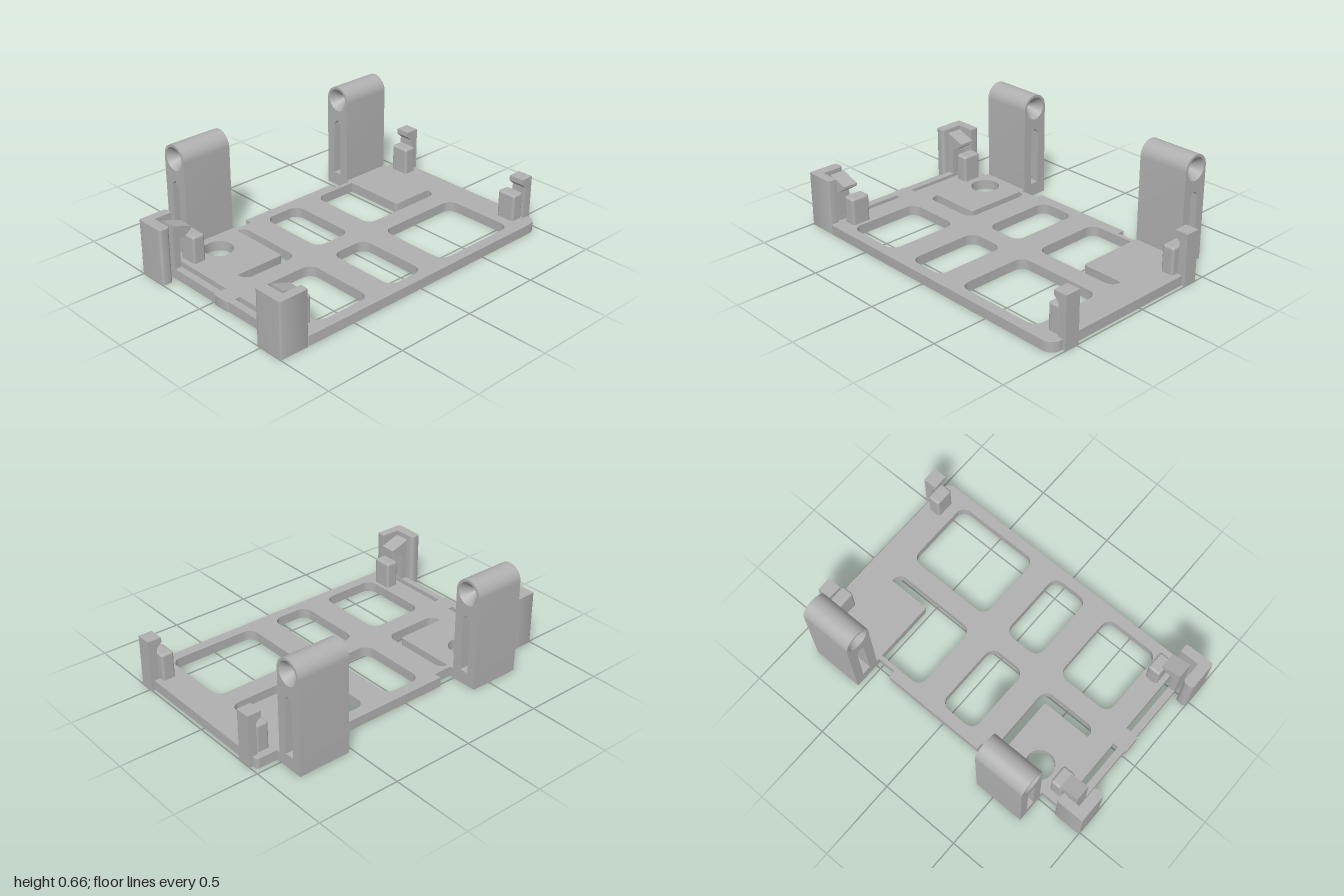
import * as THREE from 'three';
import { toCreasedNormals } from 'three/addons/utils/BufferGeometryUtils.js';
import { RoundedBoxGeometry } from 'three/addons/geometries/RoundedBoxGeometry.js';

const THICK = 0.06;

// Closed path through [x, y, cornerRadius] points with rounded corners
function roundedPath(points, path) {
  const n = points.length;
  points.forEach(([x, y, r = 0], i) => {
    const p = new THREE.Vector2(x, y);
    const toward = (q) => new THREE.Vector2(q[0], q[1]).sub(p).setLength(r).add(p);
    const a = toward(points[(i + n - 1) % n]);
    const b = toward(points[(i + 1) % n]);
    if (i === 0) path.moveTo(a.x, a.y);
    else path.lineTo(a.x, a.y);
    if (r > 0) {
      const k = 0.552;
      const c1 = a.clone().lerp(p, k), c2 = b.clone().lerp(p, k);
      path.bezierCurveTo(c1.x, c1.y, c2.x, c2.y, b.x, b.y);
    }
  });
  path.closePath();
  return path;
}

const rect = (x0, x1, z0, z1, r) => [[x0, z0, r], [x1, z0, r], [x1, z1, r], [x0, z1, r]];
// Plan points are [x, z, r]; shapes are drawn with y = -z
const plan = (points, path) => roundedPath(points.map(([x, z, r]) => [x, -z, r]), path);

function extrude(shape, depth) {
  const g = new THREE.ExtrudeGeometry(shape, { depth, bevelEnabled: false, curveSegments: 10 });
  return toCreasedNormals(g, 0.6);
}

// Extrude a plan shape upward from the ground
const slab = (shape, height) => extrude(shape, height).rotateX(-Math.PI / 2);

// Extrude a [z, y] side profile between x0 and x1
function sideProfile(points, x0, x1) {
  return extrude(roundedPath(points, new THREE.Shape()), x1 - x0)
    .rotateY(-Math.PI / 2).translate(x1, 0, 0);
}

export function createModel() {
  const model = new THREE.Group();
  model.name = 'mountingTray';
  const grey = new THREE.MeshStandardMaterial({ color: 0xb0b0b0 });
  grey.name = 'plastic grey';
  grey.side = THREE.DoubleSide;
  const add = (name, geometry) => {
    const mesh = new THREE.Mesh(geometry, grey);
    mesh.name = name;
    model.add(mesh);
    return mesh;
  };

  // Base plate, including the pads beside the towers
  const outline = plan([
    [-0.47, -0.98, 0.02], [0.655, -0.98, 0.065], [0.655, 0.83, 0.03], [-0.47, 0.83],
    [-0.47, 0.70], [-0.5, 0.70], [-0.5, 0.38], [-0.47, 0.38], [-0.47, 0.26],
    [-0.515, 0.26], [-0.515, -0.41], [-0.47, -0.41], [-0.47, -0.53],
    [-0.5, -0.53], [-0.5, -0.85], [-0.47, -0.85],
  ], new THREE.Shape());
  const windows = [
    rect(0.13, 0.59, -0.80, -0.235, 0.06),
    rect(0.13, 0.59, -0.075, 0.17, 0.06),
    rect(0.13, 0.59, 0.33, 0.695, 0.06),
    rect(-0.445, 0.01, -0.075, 0.17, 0.06),
    // L-shaped openings left around the pads
    [[-0.445, -0.53], [-0.055, -0.53, 0.015], [-0.055, -0.80], [0.01, -0.80, 0.055],
      [0.01, -0.235, 0.06], [-0.445, -0.235, 0.06]],
    [[-0.445, 0.38], [-0.055, 0.38, 0.015], [-0.055, 0.695], [0.01, 0.695, 0.055],
      [0.01, 0.33, 0.06], [-0.445, 0.33, 0.045]],
  ];
  windows.forEach((w) => outline.holes.push(plan(w, new THREE.Path())));
  outline.holes.push(new THREE.Path().absarc(-0.355, -0.59, 0.087, 0, Math.PI * 2));
  add('basePlate', slab(outline, THICK));

  // Slotted towers with a countersunk barrel on top
  const cx = -0.575, cy = 0.575, R = 0.085, depth = 0.32;
  for (const [name, z0] of [['rearTower', -0.85], ['frontTower', 0.38]]) {
    const face = new THREE.Shape();
    face.moveTo(cx - R, 0).lineTo(cx + R, 0).lineTo(cx + R, cy);
    face.absarc(cx, cy, R, 0, Math.PI, false);
    face.closePath();
    face.holes.push(roundedPath([
      [cx - 0.028, 0.082], [cx - 0.028, 0.415], [cx, 0.442], [cx + 0.028, 0.415], [cx + 0.028, 0.082],
    ], new THREE.Path()));
    face.holes.push(new THREE.Path().absarc(cx, cy, 0.07, 0, Math.PI * 2));
    add(name, extrude(face, depth).translate(0, 0, z0));
    // Conical recess at both ends, joined by a pin hole
    const profile = [[0.07, 0], [0.01, 0.07], [0.01, depth - 0.07], [0.07, depth]]
      .map(([r, h]) => new THREE.Vector2(r, h));
    const bore = new THREE.LatheGeometry(profile, 40).rotateX(Math.PI / 2);
    add(name + 'Bore', toCreasedNormals(bore, 0.6).translate(cx, cy, z0));
  }

  // Front corner guards
  add('rightCornerGuard', slab(plan([
    [-0.51, 0.825, 0.012], [-0.455, 0.825], [-0.455, 0.935], [-0.318, 0.935, 0.02],
    [-0.318, 1, 0.02], [-0.51, 1, 0.01],
  ], new THREE.Shape()), 0.335));
  add('leftCornerGuard', slab(plan([
    [0.655, 0.815, 0.012], [0.6, 0.815], [0.6, 0.935], [0.463, 0.935, 0.02],
    [0.463, 1, 0.02], [0.655, 1, 0.01],
  ], new THREE.Shape()), 0.335));

  // Flexible bar joined to the plate by a central tab
  add('springBar', new THREE.BoxGeometry(1.01, THICK, 0.042).translate(0.073, THICK / 2, 0.884));
  add('centreTab', slab(plan([
    [0.012, 0.82], [0.13, 0.82], [0.13, 0.914, 0.015], [0.012, 0.914, 0.015],
  ], new THREE.Shape()), THICK));

  // Hooks and stops on both sides
  const sides = [
    ['right', -0.43, -0.335, -0.365],
    ['left', 0.478, 0.573, 0.505],
  ];
  for (const [side, x0, x1, stopX] of sides) {
    add(side + 'FrontHook', sideProfile([
      [0.905, 0], [0.905, 0.325], [0.785, 0.284], [0.785, 0.268], [0.835, 0.235], [0.865, 0.235], [0.865, 0],
    ], x0, x1));
    add(side + 'RearHook', sideProfile([
      [-1, 0], [-1, 0.315], [-0.915, 0.315], [-0.915, 0.285], [-0.948, 0.255], [-0.948, 0],
    ], x0 - 0.005 + (side === 'left' ? 0.01 : 0), x1 - 0.01 + (side === 'left' ? 0.015 : 0)));
    for (const [end, z] of [['Front', 0.757], ['Rear', -0.904]]) {
      add(side + end + 'Stop', new RoundedBoxGeometry(0.12, 0.195, 0.08, 3, 0.015)
        .translate(stopX, 0.1275, z));
    }
  }
  return model;
}
